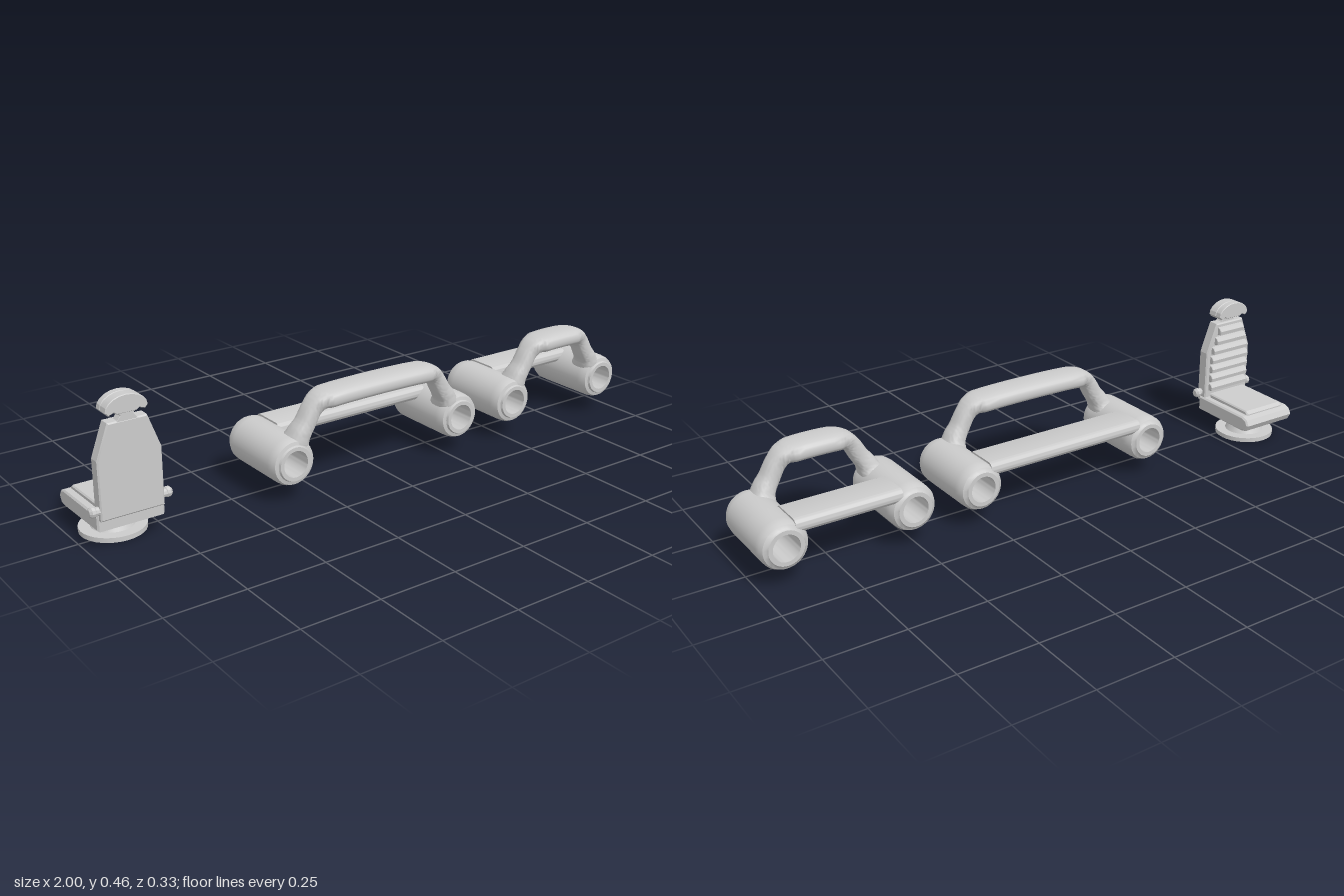
import * as THREE from 'three';
import { toCreasedNormals } from 'three/addons/utils/BufferGeometryUtils.js';

const mat = new THREE.MeshStandardMaterial({ color: 0xcccccc });

function add(group, name, geo, x = 0, y = 0, z = 0, crease = 0.6) {
  const mesh = new THREE.Mesh(toCreasedNormals(geo, crease), mat);
  mesh.name = name;
  mesh.position.set(x, y, z);
  group.add(mesh);
  return mesh;
}

// Prism with a bevel, centred on its depth; outer size equals the given outline width
function prism(points, depth, bevel = 0.003) {
  const shape = new THREE.Shape(points.map(p => new THREE.Vector2(p[0], p[1])));
  const geo = new THREE.ExtrudeGeometry(shape, {
    depth: depth - 2 * bevel, bevelSize: bevel, bevelThickness: bevel,
    bevelOffset: -bevel, bevelSegments: 1, curveSegments: 12,
  });
  return geo.translate(0, 0, -depth / 2 + bevel);
}

// Prism whose outline is given as [z, y] and which runs along x
const sidePrism = (points, width, bevel) => prism(points, width, bevel).rotateY(-Math.PI / 2);

// Hollow sleeve along z with rounded rims
function sleeve() {
  const profile = [
    [0.042, -0.135], [0.055, -0.135], [0.058, -0.13], [0.068, -0.125], [0.074, -0.112], [0.075, -0.09],
    [0.075, 0.105], [0.073, 0.125], [0.068, 0.136], [0.057, 0.139], [0.054, 0.146], [0.042, 0.146], [0.042, -0.135],
  ].map(p => new THREE.Vector2(...p));
  return new THREE.LatheGeometry(profile, 40).rotateX(Math.PI / 2);
}

// Arched handle lofted from soft rectangular sections
function handleGeometry(half) {
  // inward offset, height, half thickness, half width, z centre
  const left = [
    [0.03, 0.18, 0.036, 0.048, 0.092], [0.04, 0.205, 0.031, 0.04, 0.1], [0.06, 0.235, 0.028, 0.035, 0.104],
    [0.085, 0.277, 0.027, 0.035, 0.105], [0.108, 0.298, 0.027, 0.044, 0.106], [0.14, 0.304, 0.029, 0.057, 0.106],
  ];
  const stations = left.map(s => [s[0] - half, ...s.slice(1)]);
  stations.push(...left.slice().reverse().map(s => [half - s[0], ...s.slice(1)]));
  const path = new THREE.CatmullRomCurve3(stations.map(s => new THREE.Vector3(s[0], s[1], s[4])), false, 'centripetal');
  const size = new THREE.CatmullRomCurve3(stations.map(s => new THREE.Vector3(s[2], s[3], 0)), false, 'catmullrom', 0.3);
  const rings = 66, sides = 28, pos = [], index = [];
  const soft = v => Math.sign(v) * Math.pow(Math.abs(v), 0.75);
  for (let i = 0; i <= rings; i++) {
    const p = path.getPoint(i / rings), t = path.getTangent(i / rings), s = size.getPoint(i / rings);
    const len = Math.hypot(t.x, t.y), nx = -t.y / len, ny = t.x / len;
    for (let j = 0; j < sides; j++) {
      const a = j / sides * Math.PI * 2, n = soft(Math.cos(a)) * s.x;
      pos.push(p.x + nx * n, p.y + ny * n, p.z + soft(Math.sin(a)) * s.y);
      if (i < rings) {
        const k = (j + 1) % sides, a0 = i * sides + j, a1 = i * sides + k;
        index.push(a0, a1, a0 + sides, a1, a1 + sides, a0 + sides);
      }
    }
  }
  const geo = new THREE.BufferGeometry();
  geo.setAttribute('position', new THREE.Float32BufferAttribute(pos, 3));
  geo.setIndex(index);
  return geo;
}

function createCarrier(name, cx, half) {
  const group = new THREE.Group();
  group.name = name;
  group.position.x = cx;
  for (const s of [-1, 1]) add(group, 'sleeve', sleeve(), s * half, 0.13, 0);
  // Flat bridge with rounded edges
  const bridge = new THREE.Shape();
  const r = 0.02, z0 = -0.128, z1 = 0, y0 = 0.157, y1 = 0.202;
  bridge.absarc(z1 - r, y0 + r, r, -Math.PI / 2, 0);
  bridge.absarc(z1 - r, y1 - r, r, 0, Math.PI / 2);
  bridge.absarc(z0 + r, y1 - r, r, Math.PI / 2, Math.PI);
  bridge.absarc(z0 + r, y0 + r, r, Math.PI, Math.PI * 1.5);
  const len = 2 * (half - 0.035);
  const geo = new THREE.ExtrudeGeometry(bridge, { depth: len, bevelEnabled: false, curveSegments: 6 });
  add(group, 'bridge', geo.translate(0, 0, -len / 2).rotateY(-Math.PI / 2));
  add(group, 'handle', handleGeometry(half), 0, 0, 0, 1.2);
  return group;
}

function createSeat() {
  const seat = new THREE.Group();
  seat.name = 'seat';
  seat.position.x = -0.873;

  // Pedestal
  add(seat, 'baseDisc', new THREE.CylinderGeometry(0.1, 0.1, 0.015, 32), 0, 0.0075, -0.04);
  add(seat, 'pedestal', new THREE.CylinderGeometry(0.036, 0.066, 0.055, 32), 0, 0.0415, -0.04);

  // Cushion with a tapered front lip, and the raised pad on it
  add(seat, 'cushion', sidePrism([
    [0.09, 0.065], [0.09, 0.115], [-0.135, 0.112], [-0.155, 0.104], [-0.165, 0.086], [-0.152, 0.064], [-0.13, 0.06],
  ], 0.208, 0.005), 0, 0, 0, 0.3);
  add(seat, 'seatPad', sidePrism([
    [0.06, 0.1], [0.06, 0.128], [-0.125, 0.124], [-0.137, 0.115], [-0.137, 0.1],
  ], 0.16, 0.004), 0, 0, 0, 0.3);

  // Backrest
  add(seat, 'backrest', prism([
    [-0.098, 0.1], [0.098, 0.1], [0.098, 0.28], [0.06, 0.383], [-0.06, 0.383], [-0.098, 0.28],
  ], 0.04, 0.004), 0, 0, 0.085, 0.3);

  // Padded ribs, narrowing with the backrest
  for (let i = 0; i < 7; i++) {
    const y = 0.137 + i * 0.034;
    const width = y < 0.26 ? 0.165 : 0.165 - (y - 0.26) * 0.7;
    add(seat, 'rib', sidePrism([
      [0.068, y], [0.068, y + 0.03], [0.055, y + 0.026], [0.048, y + 0.016], [0.05, y + 0.004],
    ], width, 0.002), 0, 0, 0, 0.3);
  }

  // Neck and domed headrest in two slabs with a groove between
  add(seat, 'neck', prism([
    [-0.036, 0.375], [0.036, 0.375], [0.02, 0.396], [0.03, 0.41], [-0.03, 0.41], [-0.02, 0.396],
  ], 0.028, 0.001), 0, 0, 0.09, 0.3);
  const dome = [[-0.03, 0.402], [0.03, 0.402], [0.038, 0.408], [0.055, 0.402]];
  for (let i = 0; i <= 10; i++) {
    const a = i / 10 * Math.PI;
    dome.push([0.064 * Math.cos(a), 0.412 + 0.043 * Math.sin(a)]);
  }
  dome.push([-0.055, 0.402], [-0.038, 0.408]);
  add(seat, 'headrestRear', prism(dome, 0.034, 0.002), 0, 0, 0.088, 0.4);
  add(seat, 'headrestFront', prism(dome, 0.024, 0.002), 0, 0, 0.059, 0.4);

  // Cross rod behind the seat with end knobs
  add(seat, 'crossRod', new THREE.CylinderGeometry(0.013, 0.013, 0.24, 10).rotateZ(Math.PI / 2), 0, 0.13, 0.09);
  for (const s of [-1, 1]) {
    const knob = new THREE.LatheGeometry(
      [[0, -0.012], [0.01, -0.012], [0.016, -0.005], [0.016, 0.005], [0.01, 0.012], [0, 0.012]]
        .map(p => new THREE.Vector2(...p)), 10).rotateZ(Math.PI / 2);
    add(seat, 'rodKnob', knob, s * 0.115, 0.13, 0.088);
  }
  return seat;
}

export function createModel() {
  const model = new THREE.Group();
  model.name = 'seatAndCarriers';
  model.add(createSeat());
  model.add(createCarrier('longCarrier', -0.04, 0.32));
  model.add(createCarrier('shortCarrier', 0.718, 0.204));
  return model;
}
